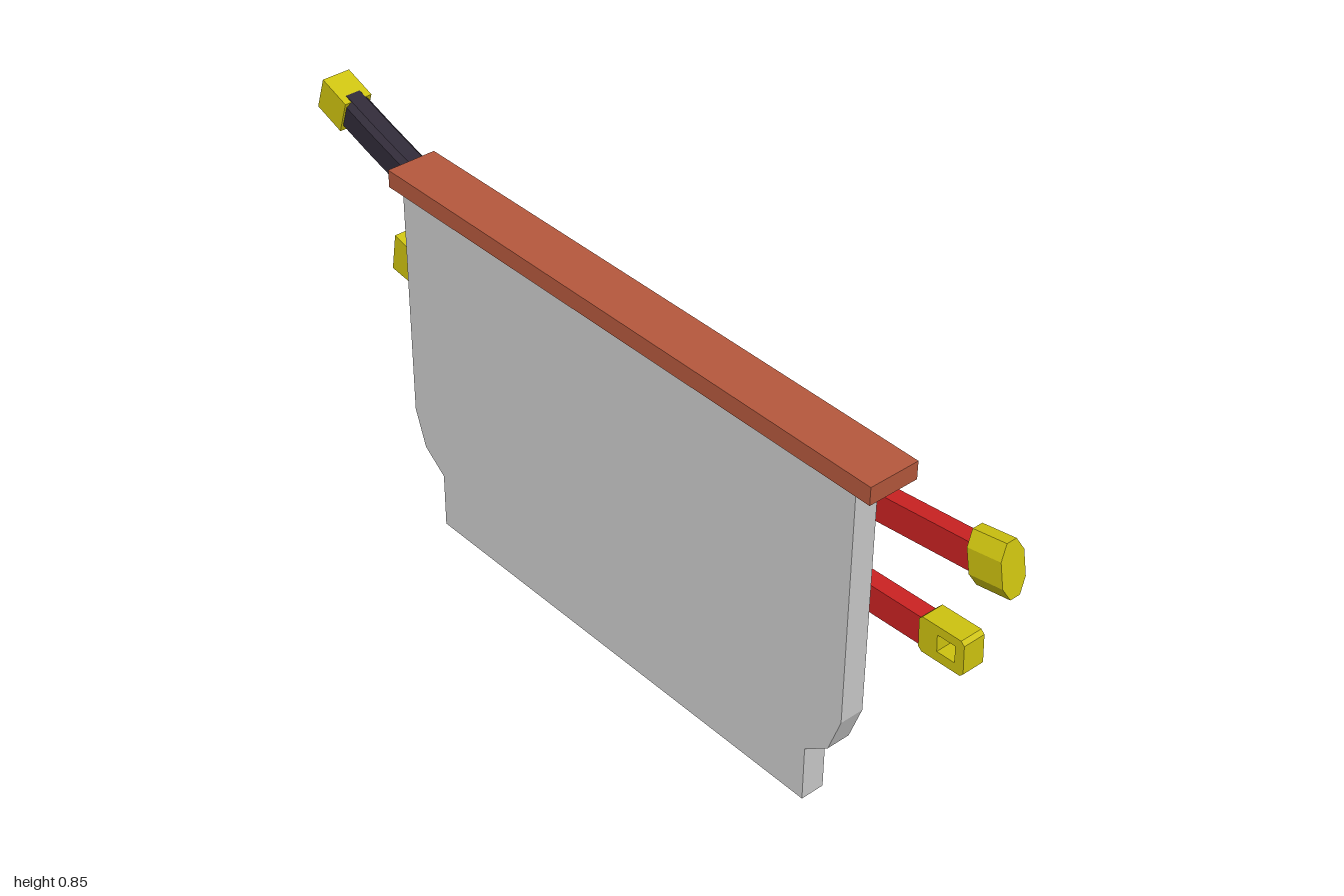
import * as THREE from 'three';

const mat = (color, extra = {}) => new THREE.MeshStandardMaterial({ color, flatShading: true, ...extra });
const GREY = mat(0xcccccc), WOOD = mat(0xb5583d), RED = mat(0xcc2222), GOLD = mat(0xcfc410), BLACK = mat(0x302a38);

function add(parent, name, geometry, material, x = 0, y = 0, z = 0, tilt = 0) {
  const mesh = new THREE.Mesh(geometry, material);
  mesh.name = name;
  mesh.position.set(x, y, z);
  mesh.rotation.x = tilt;
  parent.add(mesh);
  return mesh;
}

const polygon = (pts) => new THREE.Shape(pts.map(([a, b]) => new THREE.Vector2(a, b)));

// Slab drawn in x/y, centred on its depth along z
function slab(shape, depth) {
  const g = new THREE.ExtrudeGeometry(shape, { depth, bevelEnabled: false });
  return g.translate(0, 0, -depth / 2);
}
// Slab drawn in z/y, thickness along x
const sideSlab = (shape, depth) => slab(shape, depth).rotateY(-Math.PI / 2);

// Rectangle with cut corners
function chamfered(w, h, cx, cy) {
  const a = w / 2, b = h / 2;
  return [[a, -b + cy], [a, b - cy], [a - cx, b], [-a + cx, b], [-a, b - cy], [-a, -b + cy], [-a + cx, -b], [a - cx, -b]];
}

// Straight bar between two [z, y] points
function bar(parent, name, material, x, a, b, w, h) {
  const dz = b[0] - a[0], dy = b[1] - a[1];
  return add(parent, name, new THREE.BoxGeometry(w, h, Math.hypot(dz, dy)), material,
    x, (a[1] + b[1]) / 2, (a[0] + b[0]) / 2, Math.atan2(-dy, dz));
}

// Curved scabbard: chamfered section swept along [z, y] points from +z to -z
function sweep(points, w, h, endScale) {
  const curve = new THREE.CatmullRomCurve3(points.map(([z, y]) => new THREE.Vector3(0, y, z)));
  const section = chamfered(w, h, w * 0.2, h * 0.16), n = section.length, steps = 12;
  const pos = [], index = [];
  for (let i = 0; i <= steps; i++) {
    const p = curve.getPoint(i / steps), t = curve.getTangent(i / steps);
    const s = 1 + (endScale - 1) * i / steps;
    for (const [sx, sy] of section) pos.push(sx * s, p.y - t.z * sy * s, p.z + t.y * sy * s);
  }
  for (let i = 0; i < steps; i++) for (let j = 0; j < n; j++) {
    const a = i * n + j, b = i * n + (j + 1) % n;
    index.push(a, a + n, b, b, a + n, b + n);
  }
  const last = steps * n;
  for (let j = 1; j < n - 1; j++) {
    index.push(0, j, j + 1);
    index.push(last, last + j + 1, last + j);
  }
  const g = new THREE.BufferGeometry();
  g.setAttribute('position', new THREE.Float32BufferAttribute(pos, 3));
  g.setIndex(index);
  const flat = g.toNonIndexed();
  flat.computeVertexNormals();
  return flat;
}

// Cord loop around a scabbard with a hanging tassel
function tassel(parent, x, y, z, w, h, tilt = 0) {
  const g = new THREE.Group();
  g.name = 'tassel';
  g.position.set(x, y, z);
  g.rotation.x = tilt;
  const loop = chamfered(w + 0.012, h + 0.014, w * 0.25, h * 0.2).map(([a, b]) => new THREE.Vector3(a, b, 0));
  const path = new THREE.CatmullRomCurve3(loop, true, 'catmullrom', 0.2);
  add(g, 'cord', new THREE.TubeGeometry(path, 24, 0.007, 5, true), RED);
  const low = -h / 2, side = 0.011;
  add(g, 'tasselKnot', new THREE.CylinderGeometry(0.012, 0.012, 0.016, 6), RED, side, low - 0.008, 0);
  add(g, 'tasselBand', new THREE.CylinderGeometry(0.011, 0.015, 0.035, 6), GOLD, side, low - 0.03, 0);
  add(g, 'tasselFringe', new THREE.CylinderGeometry(0.013, 0.026, 0.028, 6), RED, side, low - 0.06, 0);
  parent.add(g);
}

// Stand: back board, top rail and hooks
function buildStand() {
  const stand = new THREE.Group();
  stand.name = 'stand';
  const board = polygon([[0.645, 0], [0.645, 0.13], [0.705, 0.175], [0.735, 0.26], [0.735, 0.8],
    [-0.565, 0.8], [-0.565, 0.26], [-0.535, 0.175], [-0.475, 0.13], [-0.475, 0]]);
  add(stand, 'backBoard', sideSlab(board, 0.055), GREY, -0.0875);
  add(stand, 'topRail', new THREE.BoxGeometry(0.116, 0.04, 1.38), WOOD, -0.061, 0.815, 0.083);
  const hook = slab(polygon([[-0.062, 0], [0.06, 0], [0.1, 0.033], [0.116, 0.086], [0.085, 0.086],
    [0.074, 0.058], [0.05, 0.042], [-0.015, 0.042], [-0.033, 0.058], [-0.04, 0.086], [-0.062, 0.086]]), 0.02);
  for (const [y, ...zs] of [[0.527, 0.415, -0.245], [0.316, 0.343, -0.172], [0.094, 0.27, -0.102]])
    for (const z of zs) add(stand, 'hook', hook, GREY, 0, y, z);
  return stand;
}

// Long sword: octagonal pommel and plain rectangular guard
function buildLongSword() {
  const g = new THREE.Group(), x = 0.019;
  g.name = 'longSword';
  add(g, 'pommel', slab(polygon(chamfered(0.058, 0.115, 0.017, 0.03)), 0.08), GOLD, x, 0.708, 0.95, -0.18);
  bar(g, 'handle', RED, x, [0.465, 0.65], [0.94, 0.704], 0.036, 0.062);
  bar(g, 'collar', GOLD, x, [0.445, 0.649], [0.48, 0.652], 0.046, 0.078);
  add(g, 'guard', new THREE.BoxGeometry(0.125, 0.172, 0.02), GOLD, x, 0.648, 0.46, -0.1);
  add(g, 'scabbard', sweep([[0.45, 0.649], [0.25, 0.628], [0.03, 0.62], [-0.2, 0.632], [-0.4, 0.662],
    [-0.6, 0.698], [-0.76, 0.737], [-0.93, 0.791]], 0.058, 0.078, 1), BLACK, x);
  bar(g, 'scabbardCap', GOLD, x, [-0.99, 0.81], [-0.912, 0.783], 0.068, 0.08);
  tassel(g, x, 0.62, 0.05, 0.058, 0.082);
  tassel(g, x, 0.624, -0.133, 0.058, 0.082, 0.12);
  return g;
}

// Middle sword: pierced pommel and winged guard
function buildMiddleSword() {
  const g = new THREE.Group(), x = 0.035;
  g.name = 'middleSword';
  const pommel = polygon(chamfered(0.112, 0.08, 0.008, 0.008));
  pommel.holes.push(new THREE.Path([[-0.01, -0.018], [-0.01, 0.02], [0.034, 0.02], [0.034, -0.018]]
    .map(([a, b]) => new THREE.Vector2(a, b))));
  add(g, 'pommel', sideSlab(pommel, 0.052), GOLD, x, 0.455, 0.852, -0.05);
  bar(g, 'handle', RED, x, [0.37, 0.429], [0.805, 0.45], 0.038, 0.064);
  bar(g, 'collar', GOLD, x, [0.355, 0.429], [0.4, 0.431], 0.046, 0.076);
  // One wing, then the same wing turned half a circle
  const half = [[-0.022, 0.085], [0.034, 0.085], [0.08, 0], [0.054, -0.083], [0.038, -0.067],
    [0.063, 0], [0.033, 0.055], [0.033, -0.06]];
  const guard = [...half, ...half.map(([a, b]) => [-a, -b])];
  add(g, 'guard', slab(polygon(guard), 0.016), GOLD, x, 0.426, 0.372, -0.06);
  add(g, 'scabbard', sweep([[0.37, 0.429], [0.15, 0.421], [-0.05, 0.423], [-0.25, 0.436], [-0.48, 0.458],
    [-0.71, 0.487]], 0.052, 0.078, 0.95), BLACK, x);
  // Flared end cap
  const cap = sideSlab(polygon([[0.049, -0.041], [0.049, 0.041], [-0.049, 0.046], [-0.049, -0.046]]), 0.056);
  add(g, 'scabbardCap', cap, GOLD, x, 0.491, -0.737, 0.17);
  tassel(g, x, 0.422, 0.14, 0.052, 0.08);
  tassel(g, x, 0.422, 0.046, 0.052, 0.08);
  return g;
}

// Short blade: box pommel and small chamfered guard
function buildShortSword() {
  const g = new THREE.Group(), x = 0.022;
  g.name = 'shortSword';
  add(g, 'pommel', new THREE.BoxGeometry(0.05, 0.085, 0.045), GOLD, x, 0.199, 0.398);
  bar(g, 'handle', RED, x, [0.11, 0.194], [0.385, 0.197], 0.036, 0.06);
  const guard = polygon([[0.051, -0.02], [0.051, 0.05], [-0.051, 0.05], [-0.051, -0.02], [-0.038, -0.044],
    [-0.025, -0.05], [0.025, -0.05], [0.038, -0.044]]);
  add(g, 'guard', slab(guard, 0.018), GOLD, x, 0.193, 0.102);
  bar(g, 'collar', GOLD, x, [0.09, 0.194], [0.125, 0.194], 0.046, 0.078);
  add(g, 'scabbard', sweep([[0.1, 0.194], [0, 0.19], [-0.1, 0.194], [-0.22, 0.21], [-0.355, 0.237]],
    0.048, 0.078, 0.86), BLACK, x);
  tassel(g, x, 0.192, 0.05, 0.046, 0.08);
  return g;
}

export function createModel() {
  const model = new THREE.Group();
  model.name = 'swordRack';
  model.add(buildStand(), buildLongSword(), buildMiddleSword(), buildShortSword());
  return model;
}
